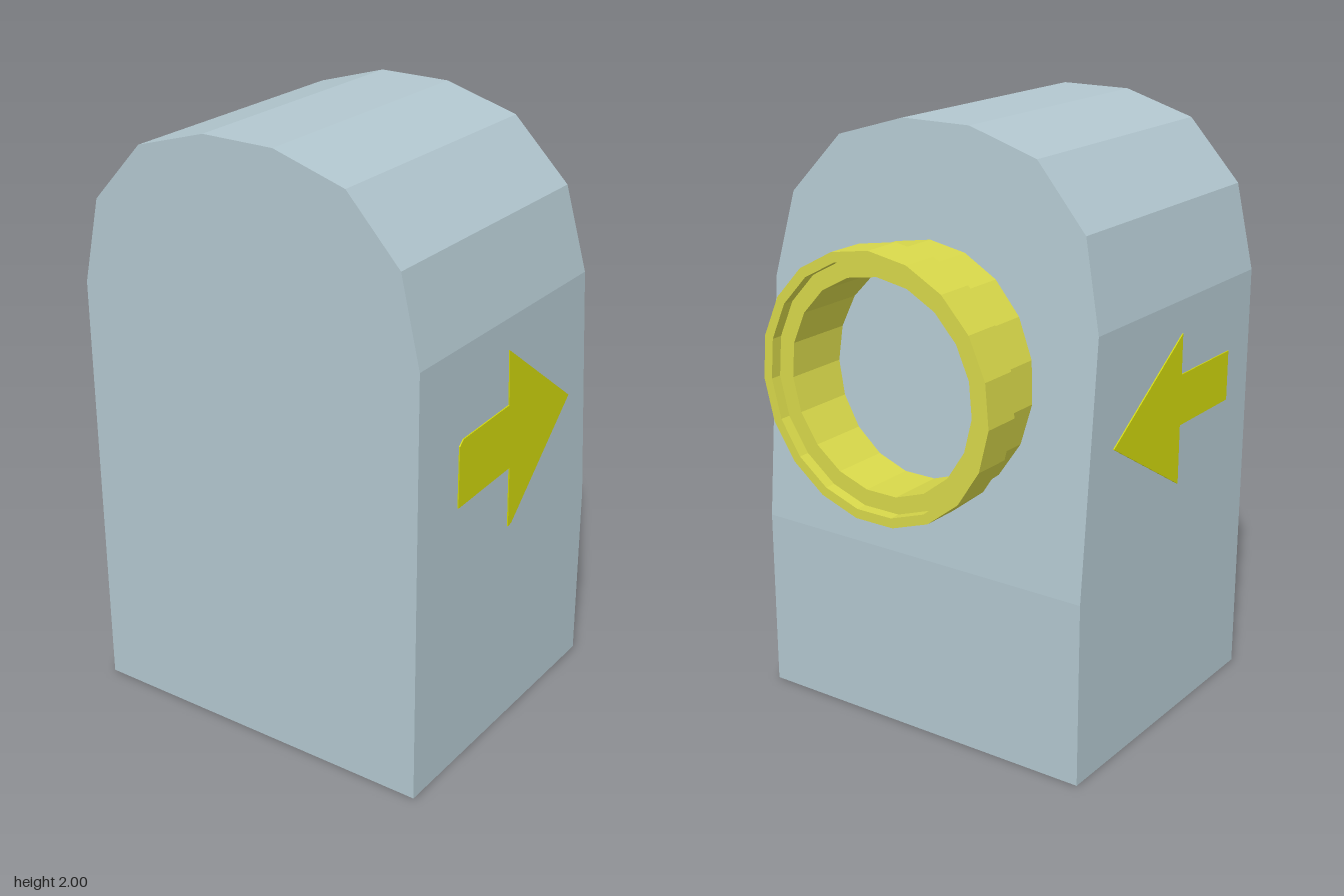
import * as THREE from 'three';

const paint = (name, color) => {
  const m = new THREE.MeshStandardMaterial({ color, flatShading: true });
  m.name = name;
  return m;
};

const shapeOf = (points) => new THREE.Shape(points.map(([x, y]) => new THREE.Vector2(x, y)));

const W = 0.62;       // half width
const FRONT = 0.623;  // front face z
const BACK = -0.415;  // back face z below the bend
const BEND = 0.62;    // height at which the back starts leaning forward
const LEAN = 0.125 / (2 - BEND);

// Arched block; the two stacked profiles give a clean fold line on the back
function bodyGeometry() {
  const arch = [[W, 1.445], [0.555, 1.728], [0.372, 1.927], [0.125, 2]];
  const mirrored = arch.map(([x, y]) => [-x, y]).reverse();
  const lower = shapeOf([[-W, 0], [W, 0], [W, BEND], [-W, BEND]]);
  const upper = shapeOf([[-W, BEND], [W, BEND], ...arch, ...mirrored]);
  const g = new THREE.ExtrudeGeometry([lower, upper], { depth: FRONT - BACK, bevelEnabled: false });
  g.translate(0, 0, BACK);
  const p = g.attributes.position;
  for (let i = 0; i < p.count; i++) {
    if (p.getZ(i) < 0) p.setZ(i, BACK + Math.max(0, p.getY(i) - BEND) * LEAN);
  }
  g.computeVertexNormals();
  return g;
}

// Thin side plate, outline given as [z, y]
function arrow(name, outline, x, material) {
  const shape = shapeOf(outline.map(([z, y]) => [-z, y]));
  const g = new THREE.ExtrudeGeometry(shape, { depth: 0.004, bevelEnabled: false });
  g.rotateY(Math.PI / 2);
  const mesh = new THREE.Mesh(g, material);
  mesh.name = name;
  mesh.position.x = x;
  return mesh;
}

export function createModel() {
  const group = new THREE.Group();
  const grey = paint('blue grey', 0xb2c7cf);
  const yellow = paint('yellow', 0xd8d84a);
  const bright = paint('bright yellow', 0xced50c);

  const body = new THREE.Mesh(bodyGeometry(), grey);
  body.name = 'body';
  group.add(body);

  // Pipe collar: neck, wider flange, shallow recess in the rim, open bore
  const profile = [
    [0.407, 0.27], [0.407, 0.48], [0.432, 0.492], [0.432, 0.623],
    [0.4, 0.623], [0.4, 0.585], [0.345, 0.585], [0.345, 0.27],
  ].map(([r, d]) => new THREE.Vector2(r, d));
  const collarGeometry = new THREE.LatheGeometry(profile, 19);
  collarGeometry.rotateX(-Math.PI / 2);
  const collar = new THREE.Mesh(collarGeometry, yellow);
  collar.name = 'pipeCollar';
  collar.position.y = 1.237;
  group.add(collar);

  // Direction arrows, both pointing to the collar
  group.add(arrow('leftArrow', [
    [0.405, 0.925], [0.105, 0.935], [0.1, 0.725], [0.08, 0.73], [-0.265, 1.045],
    [0.13, 1.34], [0.12, 1.155], [0.385, 1.147], [0.405, 1.13],
  ], W, bright));
  group.add(arrow('rightArrow', [
    [0.475, 1.03], [0.16, 1.03], [0.16, 0.83], [-0.245, 1.07],
    [0.16, 1.335], [0.16, 1.2], [0.475, 1.2],
  ], -W - 0.004, bright));

  return group;
}
